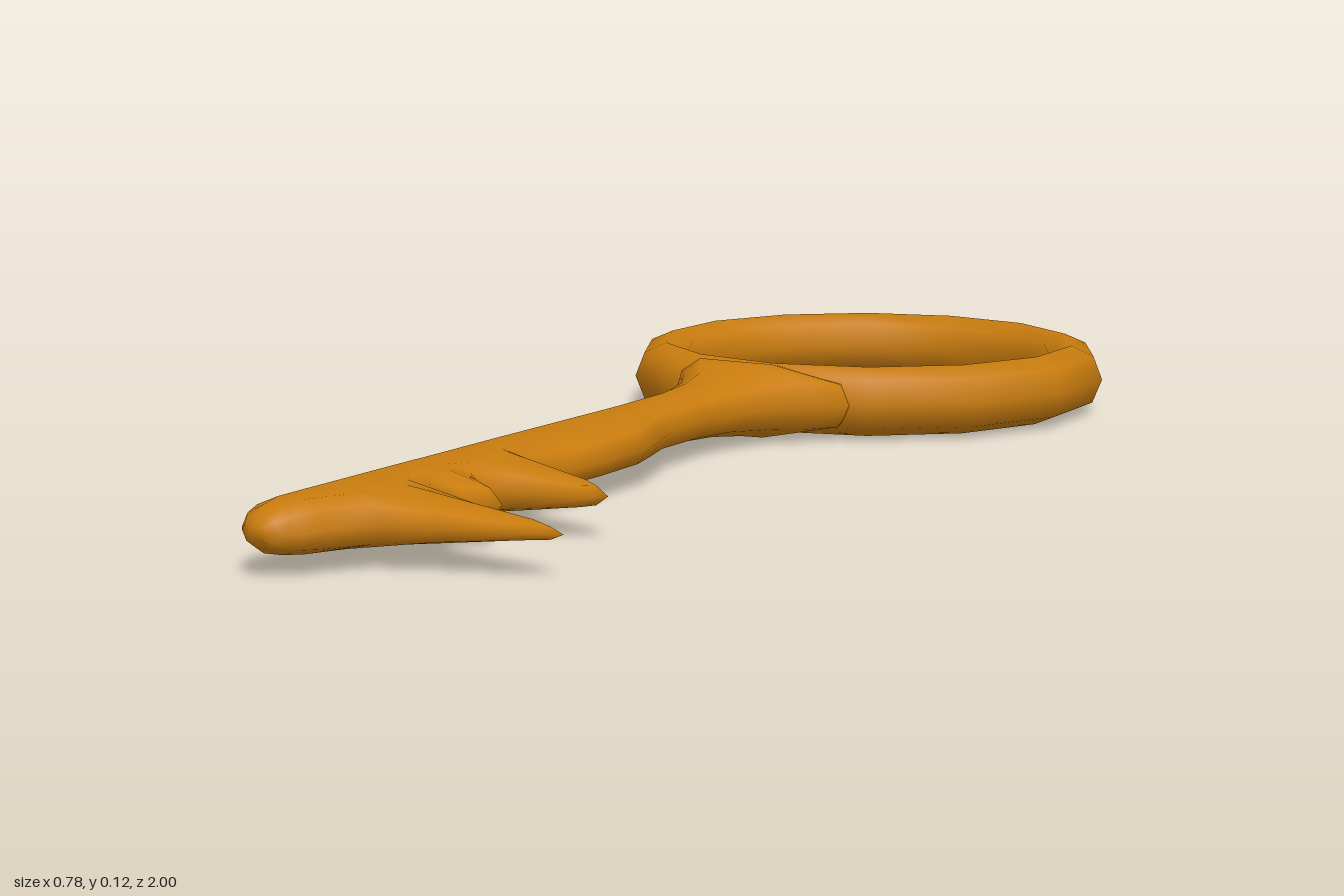
import * as THREE from 'three';
import { mergeVertices } from 'three/addons/utils/BufferGeometryUtils.js';

const MID_Y = 0.06;

// Weld shared corners and shade smoothly
function smooth(geometry) {
  geometry.deleteAttribute('normal');
  geometry.deleteAttribute('uv');
  const welded = mergeVertices(geometry, 1e-4);
  welded.computeVertexNormals();
  return welded;
}

// Closed outline of the shank at one z: rounded spine on the left, tapering edge on the right
function section([z, xL, xR, h]) {
  const w = xR - xL;
  const crown = xL + Math.min(0.045, w * 0.35);
  const shoulder = Math.max(crown + w * 0.1, Math.min(0.01, xR - w * 0.35));
  const edge = Math.max(0.008, h * 0.72 - Math.max(0, xR - 0.05) * 0.08);
  const upper = [
    [xR - Math.min(0.018, w * 0.12), edge],
    [shoulder, h * 0.98],
    [crown, h],
    [xL + Math.min(0.012, w * 0.1), h * 0.62],
  ];
  const lower = upper.map(([x, y]) => [x, -y]).reverse();
  return [[xR, 0], ...upper, [xL, 0], ...lower].map(([x, y]) => [x, y + MID_Y, z]);
}

// Skin a row of sections and close both ends
function loft(rows) {
  const rings = rows.map(section);
  const n = rings[0].length;
  const positions = rings.flat(2);
  const index = [];
  for (let i = 0; i < rings.length - 1; i++) {
    for (let j = 0; j < n; j++) {
      const a = i * n + j, b = i * n + (j + 1) % n;
      index.push(a, b, a + n, b, b + n, a + n);
    }
  }
  const last = (rings.length - 1) * n;
  for (let j = 1; j < n - 1; j++) {
    index.push(0, j + 1, j, last, last + j, last + j + 1);
  }
  const geometry = new THREE.BufferGeometry();
  geometry.setAttribute('position', new THREE.Float32BufferAttribute(positions, 3));
  geometry.setIndex(index);
  geometry.computeVertexNormals();
  return geometry;
}

export function createModel() {
  const key = new THREE.Group();
  key.name = 'key';
  const bronze = new THREE.MeshStandardMaterial({ color: 0xc97c0e });
  bronze.name = 'bronze';

  // Bow: fourteen-sided ring with an octagonal cross-section
  const profile = [];
  for (let i = 0; i <= 8; i++) {
    const a = (i / 8) * Math.PI * 2;
    profile.push(new THREE.Vector2(0.3465 + 0.0525 * Math.cos(a), 0.055 * Math.sin(a)));
  }
  const bow = new THREE.Mesh(smooth(new THREE.LatheGeometry(profile, 14)), bronze);
  bow.name = 'bow';
  bow.position.set(0, MID_Y, -0.602);
  key.add(bow);

  // Shank with flared neck and bit teeth: z, left x, right x, half height
  const shank = new THREE.Mesh(loft([
    [-0.265, -0.15, 0.14, 0.05],
    [-0.23, -0.165, 0.145, 0.058],
    [-0.2, -0.145, 0.105, 0.057],
    [-0.15, -0.12, 0.062, 0.048],
    [-0.08, -0.108, 0.036, 0.04],
    [0.0, -0.104, 0.024, 0.036],
    [0.12, -0.104, 0.026, 0.035],
    [0.18, -0.104, 0.045, 0.035],
    [0.25, -0.105, 0.064, 0.035],
    [0.36, -0.106, 0.067, 0.035],
    [0.45, -0.107, 0.06, 0.035],
    [0.515, -0.107, 0.037, 0.035],
    [0.535, -0.107, 0.075, 0.035],
    [0.57, -0.107, 0.17, 0.035],
    [0.59, -0.107, 0.2, 0.035],
    [0.605, -0.107, 0.185, 0.035],
    [0.625, -0.107, 0.1, 0.035],
    [0.65, -0.108, 0.045, 0.035],
    [0.68, -0.108, 0.075, 0.035],
    [0.705, -0.108, 0.112, 0.035],
    [0.73, -0.108, 0.075, 0.035],
    [0.765, -0.108, 0.065, 0.035],
    [0.79, -0.108, 0.15, 0.035],
    [0.805, -0.108, 0.24, 0.035],
    [0.825, -0.108, 0.278, 0.035],
    [0.84, -0.108, 0.24, 0.035],
    [0.865, -0.108, 0.14, 0.035],
    [0.89, -0.108, 0.06, 0.035],
    [0.94, -0.107, 0.02, 0.035],
    [0.975, -0.092, 0.002, 0.03],
    [0.992, -0.078, -0.02, 0.02],
    [1.0, -0.062, -0.034, 0.008],
  ]), bronze);
  shank.name = 'shank';
  key.add(shank);

  return key;
}
